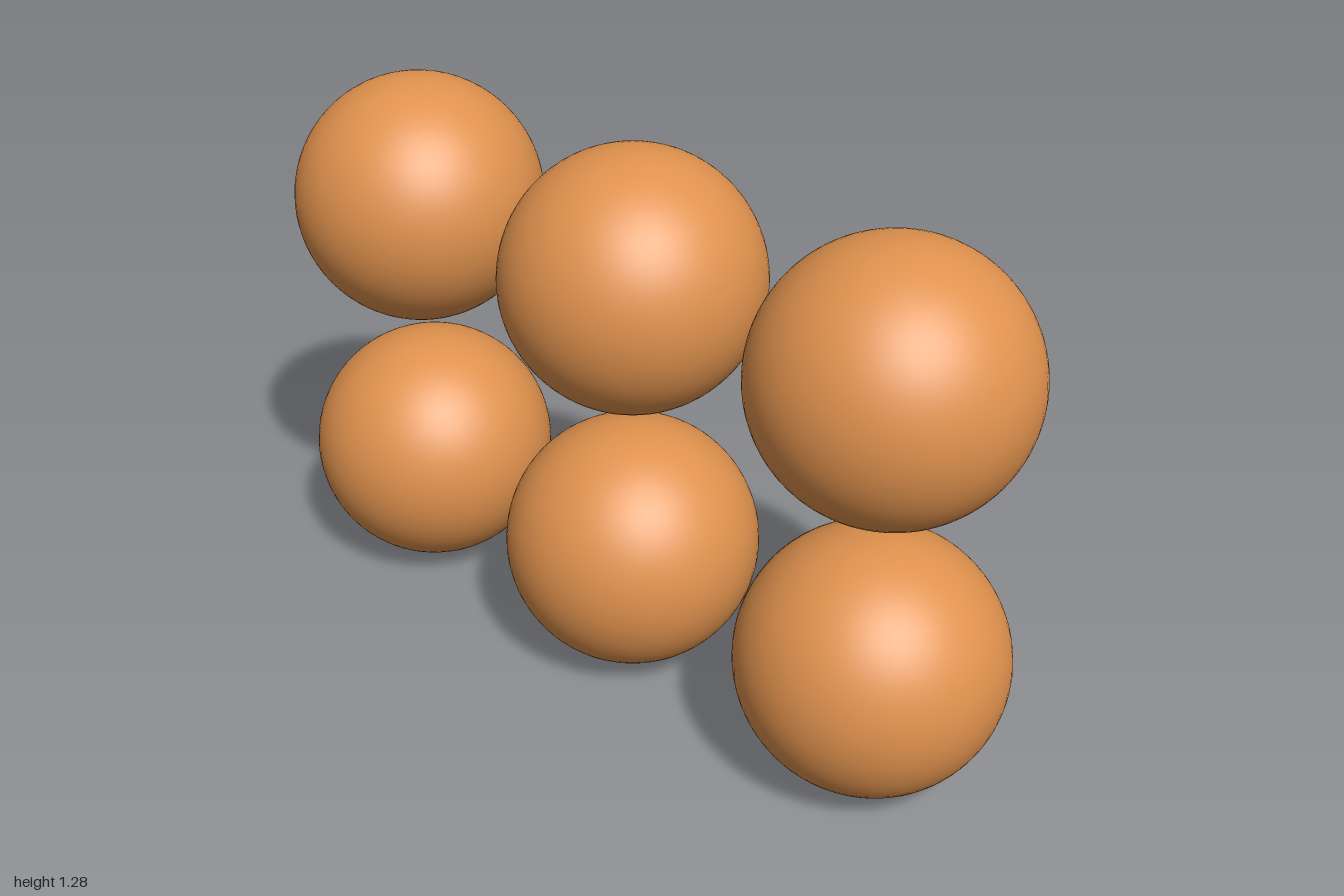
import * as THREE from 'three';

export function createModel() {
  const group = new THREE.Group();
  const orange = new THREE.MeshStandardMaterial({ color: 0xe0924e });
  orange.name = 'warm orange';

  const radius = 0.302;
  const columnX = { right: -0.698, middle: 0, left: 0.698 };
  const rowY = { lower: radius, upper: 0.983 };
  const ballGeometry = new THREE.SphereGeometry(radius, 64, 40);

  // Two rows of three identical balls
  for (const [row, y] of Object.entries(rowY)) {
    for (const [column, x] of Object.entries(columnX)) {
      const ball = new THREE.Mesh(ballGeometry, orange);
      ball.name = `${row} ${column} ball`;
      ball.position.set(x, y, 0);
      group.add(ball);
    }
  }
  return group;
}
